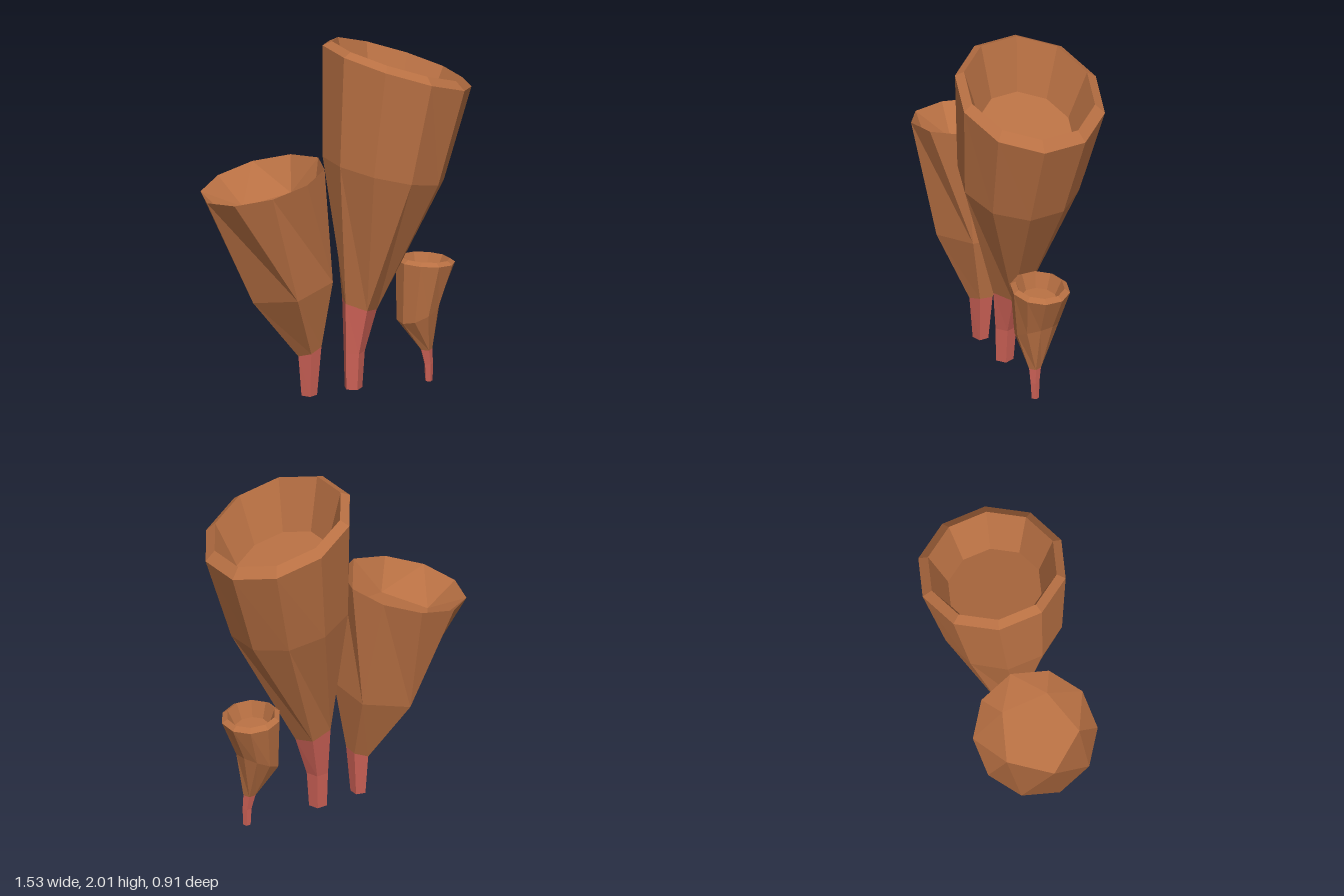
import * as THREE from 'three';

const brown = new THREE.MeshStandardMaterial({ color: 0xb87043 });
brown.name = 'cup brown';
const pink = new THREE.MeshStandardMaterial({ color: 0xcc6156 });
pink.name = 'stem pink';

const SIDES = 10;

// Ring: centre x, y, z, radius, corner count, slope of y along x and along z
const ring = (x, y, z, r, sides = SIDES, sx = 0, sz = 0) => ({ x, y, z, r, sides, sx, sz });

function ringPoints(k, phase) {
  const points = [];
  for (let i = 0; i < SIDES; i++) {
    // rings with fewer corners let neighbouring points merge
    const a = phase + (Math.floor((i * k.sides) / SIDES) / k.sides) * Math.PI * 2;
    const dx = k.r * Math.cos(a), dz = k.r * Math.sin(a);
    points.push(new THREE.Vector3(k.x + dx, k.y + dx * k.sx + dz * k.sz, k.z + dz));
  }
  return points;
}

// Faceted skin through a run of tilted rings
function loft(name, rings, phase, material) {
  const loops = rings.map((k) => ringPoints(k, phase));
  const positions = [];
  const triangle = (a, b, c) => {
    const area = b.clone().sub(a).cross(c.clone().sub(a)).length();
    if (area > 1e-7) for (const p of [a, b, c]) positions.push(p.x, p.y, p.z);
  };
  for (let j = 0; j < loops.length - 1; j++) {
    for (let i = 0; i < SIDES; i++) {
      const n = (i + 1) % SIDES;
      const a = loops[j], b = loops[j + 1];
      triangle(a[i], b[i], b[n]);
      triangle(a[i], b[n], a[n]);
    }
  }
  const geometry = new THREE.BufferGeometry();
  geometry.setAttribute('position', new THREE.Float32BufferAttribute(positions, 3));
  geometry.computeVertexNormals();
  const mesh = new THREE.Mesh(geometry, material);
  mesh.name = name;
  return mesh;
}

// Closed stem below the neck, hollow cup above it
function tubeCup(name, phase, stemRings, cupRings) {
  const group = new THREE.Group();
  group.name = name;
  const foot = stemRings[0], floor = cupRings[cupRings.length - 1];
  group.add(loft(name + 'Stem', [{ ...foot, r: 0 }, ...stemRings, cupRings[0]], phase, pink));
  group.add(loft(name + 'Cup', [...cupRings, { ...floor, r: 0 }], phase, brown));
  return group;
}

export function createModel() {
  const model = new THREE.Group();
  model.name = 'cupCluster';

  // Tall cup with a bevelled lip
  model.add(tubeCup('tall', 0,
    [ring(0.083, 0.01, 0.035, 0.052, 5), ring(0.088, 0.22, 0.03, 0.062, 5)],
    [
      ring(0.118, 0.485, 0.013, 0.102, 5, -0.33),
      ring(0.26, 1.265, -0.01, 0.34, 10, -0.25, 0.08),
      ring(0.345, 1.84, -0.058, 0.418, 10, -0.34, 0.12),
      ring(0.345, 1.88, -0.056, 0.365, 10, -0.34, 0.12),
      ring(0.315, 1.6, -0.045, 0.265, 10, -0.34, 0.12),
    ]));

  // Wide cup with a sharp rim
  model.add(tubeCup('wide', Math.PI / 10,
    [ring(-0.178, 0.01, 0.115, 0.046, 5)],
    [
      ring(-0.175, 0.265, 0.112, 0.068, 5, 0.38),
      ring(-0.278, 0.63, 0.11, 0.235, 5, 0.22),
      ring(-0.437, 1.27, 0.11, 0.347, 10, 0.245),
      ring(-0.385, 1.1, 0.13, 0.23, 5, 0.245),
    ]));

  // Small cup
  model.add(tubeCup('small', 0,
    [ring(0.522, 0, -0.052, 0.022, 5), ring(0.52, 0.1, -0.05, 0.026, 5)],
    [
      ring(0.507, 0.185, -0.052, 0.035, 5),
      ring(0.467, 0.41, -0.07, 0.122, 10, 0.42, -0.2),
      ring(0.508, 0.688, -0.083, 0.167, 10, -0.08, 0.08),
      ring(0.508, 0.708, -0.083, 0.137, 10, -0.08, 0.08),
      ring(0.5, 0.62, -0.08, 0.1, 10, -0.08, 0.08),
    ]));

  return model;
}
